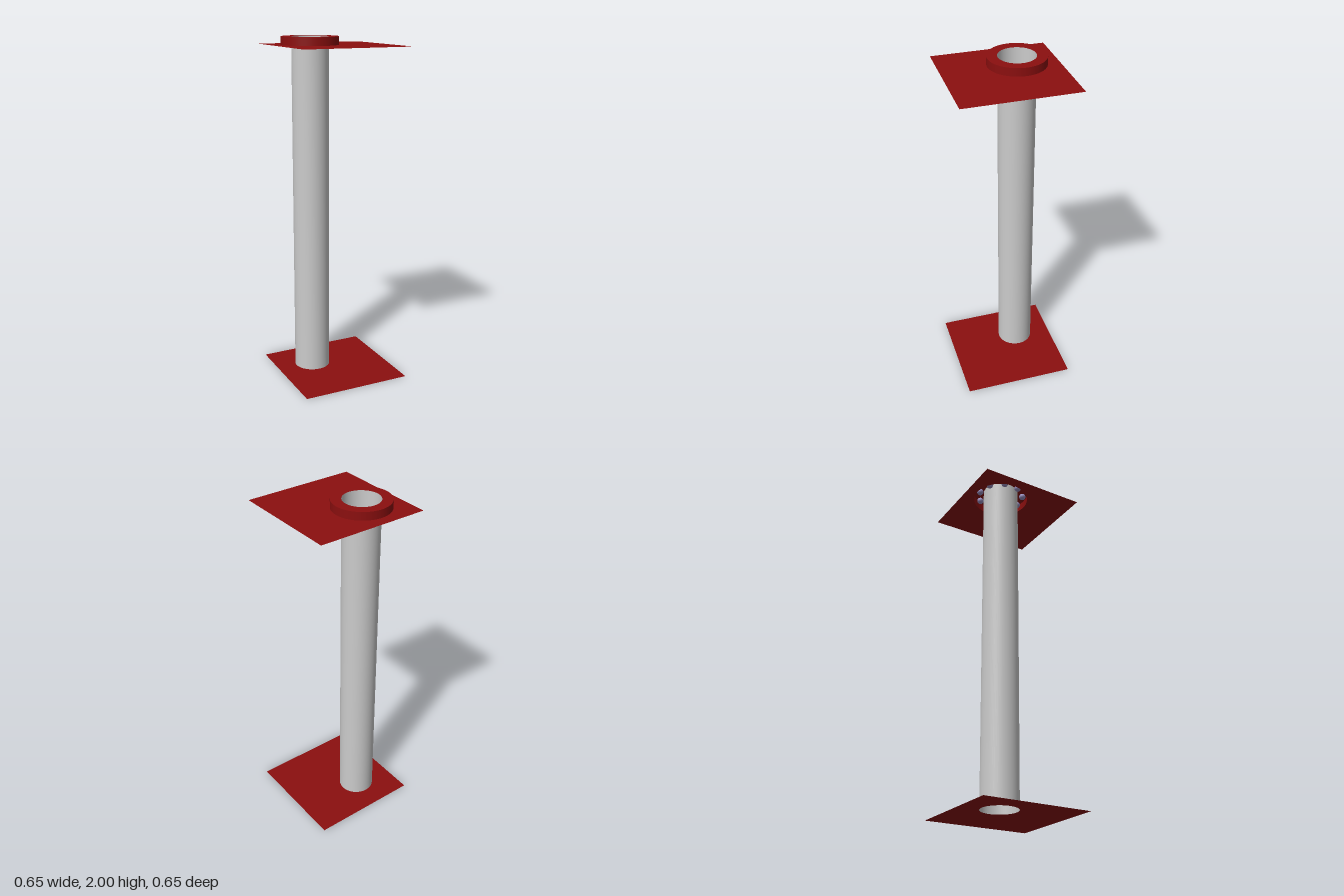
import * as THREE from 'three';

const HALF = 0.325;        // half width of the plates
const CX = -0.099, CZ = -0.099; // axis of the pipe
const PIPE_R = 0.106, RING_R = 0.165;
const PLATE_Y = 1.953, TOP = 2;

const material = (color) => new THREE.MeshStandardMaterial({ color, side: THREE.DoubleSide });

function add(parent, name, geometry, mat, x, y, z) {
  const mesh = new THREE.Mesh(geometry, mat);
  mesh.name = name;
  mesh.position.set(x, y, z);
  parent.add(mesh);
  return mesh;
}

// Flat square sheet with a round hole around the pipe axis
function plateGeometry(holeRadius) {
  const shape = new THREE.Shape([
    new THREE.Vector2(-HALF, -HALF), new THREE.Vector2(HALF, -HALF),
    new THREE.Vector2(HALF, HALF), new THREE.Vector2(-HALF, HALF),
  ]);
  shape.holes.push(new THREE.Path().absarc(CX, -CZ, holeRadius, 0, Math.PI * 2, true));
  return new THREE.ShapeGeometry(shape, 48).rotateX(-Math.PI / 2);
}

export function createModel() {
  const group = new THREE.Group();
  const red = material(0x8b0f0f);
  const grey = material(0xcccccc);
  const steel = material(0x9a8fc0);

  // Floor and ceiling sheets
  add(group, 'lowerPlate', plateGeometry(PIPE_R), red, 0, 0, 0);
  add(group, 'upperPlate', plateGeometry(RING_R), red, 0, PLATE_Y, 0);

  // Open thin-walled pipe
  add(group, 'pipe', new THREE.CylinderGeometry(PIPE_R, PIPE_R, TOP, 96, 1, true), grey, CX, TOP / 2, CZ);

  // Collar: outer wall and flat top, open below
  const collar = new THREE.Group();
  collar.name = 'collar';
  group.add(collar);
  const h = TOP - PLATE_Y;
  add(collar, 'collarWall', new THREE.CylinderGeometry(RING_R, RING_R, h, 96, 1, true), red, CX, PLATE_Y + h / 2, CZ);
  add(collar, 'collarTop', new THREE.RingGeometry(PIPE_R, RING_R, 96).rotateX(-Math.PI / 2), red, CX, TOP, CZ);

  // Bearing balls inside the collar
  const ball = new THREE.SphereGeometry(0.02, 20, 14);
  const count = 9, r = (PIPE_R + RING_R) / 2;
  for (let i = 0; i < count; i++) {
    const a = (i / count) * Math.PI * 2;
    add(collar, 'bearingBall', ball, steel, CX + r * Math.cos(a), PLATE_Y + h / 2, CZ + r * Math.sin(a));
  }
  return group;
}
